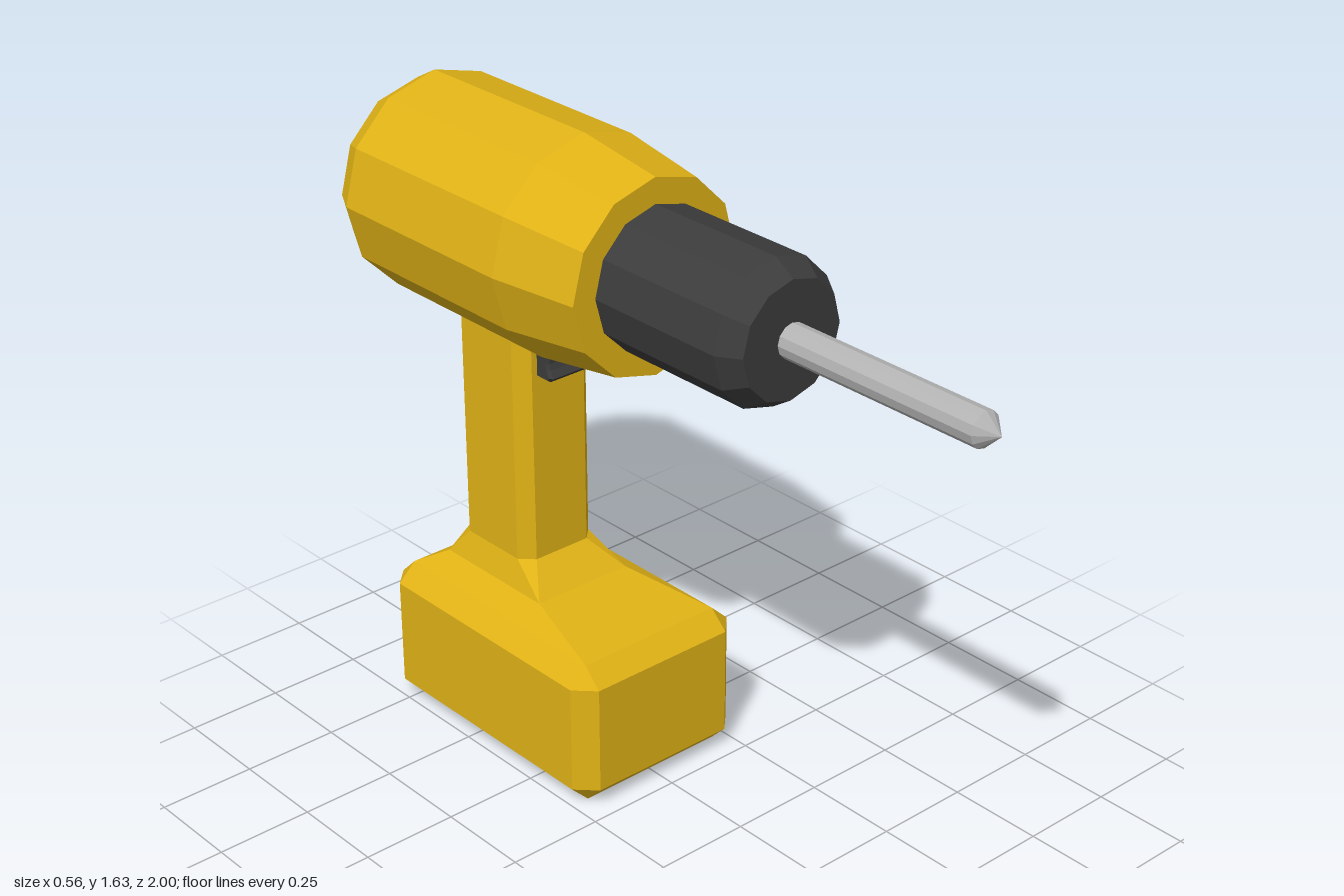
import * as THREE from 'three';

const paint = (color) => new THREE.MeshStandardMaterial({ color, flatShading: true });

// Twelve-sided turned part along z; profile is [radius, z] from back to front
function turned(name, profile, material) {
  const points = profile.map(([r, z]) => new THREE.Vector2(r, z));
  const mesh = new THREE.Mesh(new THREE.LatheGeometry(points, 12), material);
  mesh.name = name;
  mesh.rotation.x = Math.PI / 2;
  mesh.position.y = 1.353;
  return mesh;
}

// Stack of corner-cut rectangles; each ring is [y, halfWidth, zBack, zFront, cornerCut]
function lofted(name, rings, material) {
  const loops = rings.map(([y, w, b, f, c]) => [
    [w - c, f], [w, f - c], [w, b + c], [w - c, b],
    [c - w, b], [-w, b + c], [-w, f - c], [c - w, f],
  ].map(([x, z]) => new THREE.Vector3(x, y, z)));
  const positions = [];
  const tri = (a, b, c) => {
    if (a.equals(b) || b.equals(c) || a.equals(c)) return;
    for (const p of [a, b, c]) positions.push(p.x, p.y, p.z);
  };
  for (let i = 0; i < loops.length - 1; i++) {
    const lo = loops[i], hi = loops[i + 1];
    for (let j = 0; j < 8; j++) {
      const k = (j + 1) % 8;
      tri(lo[j], lo[k], hi[k]);
      tri(lo[j], hi[k], hi[j]);
    }
  }
  // End caps
  const bottom = loops[0], top = loops[loops.length - 1];
  for (let j = 1; j < 7; j++) {
    tri(bottom[0], bottom[j + 1], bottom[j]);
    tri(top[0], top[j], top[j + 1]);
  }
  const geometry = new THREE.BufferGeometry();
  geometry.setAttribute('position', new THREE.Float32BufferAttribute(positions, 3));
  geometry.computeVertexNormals();
  const mesh = new THREE.Mesh(geometry, material);
  mesh.name = name;
  mesh.position.x = 0.005;
  return mesh;
}

export function createModel() {
  const yellow = paint(0xe0b216);
  const dark = paint(0x3c3c3c);
  const steel = paint(0xb4b4b4);
  const group = new THREE.Group();
  group.name = 'powerDrill';

  // Motor housing, chuck and bit
  group.add(turned('motorHousing', [
    [0, -1], [0.17, -1], [0.242, -0.93], [0.28, -0.86], [0.28, -0.3], [0.245, -0.055], [0, -0.055],
  ], yellow));
  group.add(turned('chuck', [[0, -0.1], [0.18, -0.1], [0.18, 0.335], [0.145, 0.39], [0, 0.39]], dark));
  group.add(turned('drillBit', [[0, 0.35], [0.043, 0.35], [0.043, 0.955], [0, 1]], steel));

  // Battery base flaring into the grip
  group.add(lofted('batteryAndGrip', [
    [0, 0.205, -0.765, -0.087, 0],
    [0.05, 0.255, -0.815, -0.037, 0.049],
    [0.337, 0.255, -0.815, -0.037, 0.049],
    [0.385, 0.205, -0.765, -0.087, 0],
    [0.42, 0.14, -0.703, -0.34, 0],
    [0.49, 0.115, -0.68, -0.42, 0.034],
    [1.15, 0.115, -0.68, -0.42, 0.034],
  ], yellow));

  // Trigger with a hollowed finger face, drawn in (-z, y)
  const outline = new THREE.Shape();
  outline.moveTo(0.45, 1.15);
  outline.lineTo(0.372, 1.15);
  outline.lineTo(0.372, 1.085);
  outline.quadraticCurveTo(0.404, 1.04, 0.375, 1.0);
  outline.lineTo(0.382, 0.993);
  outline.lineTo(0.45, 0.993);
  const triggerGeometry = new THREE.ExtrudeGeometry(outline, {
    depth: 0.109, curveSegments: 5, bevelSize: 0.006, bevelThickness: 0.008, bevelSegments: 1,
  });
  triggerGeometry.translate(0, 0, -0.0545);
  const trigger = new THREE.Mesh(triggerGeometry, dark);
  trigger.name = 'trigger';
  trigger.rotation.y = Math.PI / 2;
  trigger.position.x = 0.003;
  group.add(trigger);

  return group;
}
